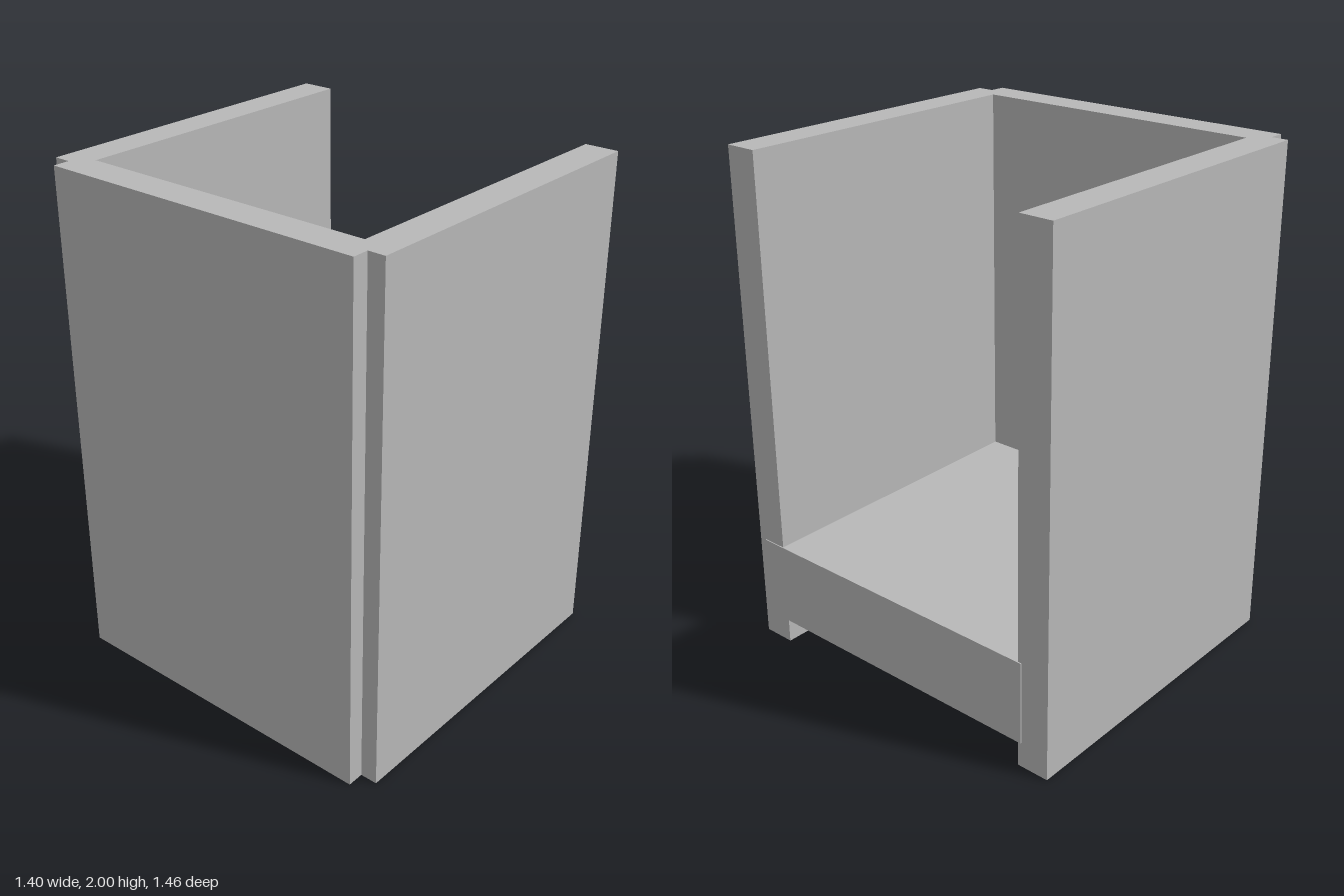
import * as THREE from 'three';

const grey = new THREE.MeshStandardMaterial({ color: 0xb8b8b8 });
grey.name = 'light grey';

// Box panel given by its lower and upper corners
function panel(name, [x0, y0, z0], [x1, y1, z1]) {
  const mesh = new THREE.Mesh(new THREE.BoxGeometry(x1 - x0, y1 - y0, z1 - z0), grey);
  mesh.position.set((x0 + x1) / 2, (y0 + y1) / 2, (z0 + z1) / 2);
  mesh.name = name;
  return mesh;
}

export function createModel() {
  const group = new THREE.Group();
  group.name = 'openCabinet';

  // Two tall side walls
  group.add(panel('frontWall', [-0.635, 0, 0.598], [0.694, 2, 0.73]));
  group.add(panel('rearWall', [-0.635, 0, -0.733], [0.694, 2, -0.602]));

  // Closed end wall, standing slightly proud of the side walls
  group.add(panel('endWall', [-0.7, 0, -0.667], [-0.568, 2, 0.663]));

  // Thick raised floor, let into the walls and just proud at the open end
  group.add(panel('floor', [-0.632, 0.1, -0.617], [0.698, 0.43, 0.7]));

  return group;
}
